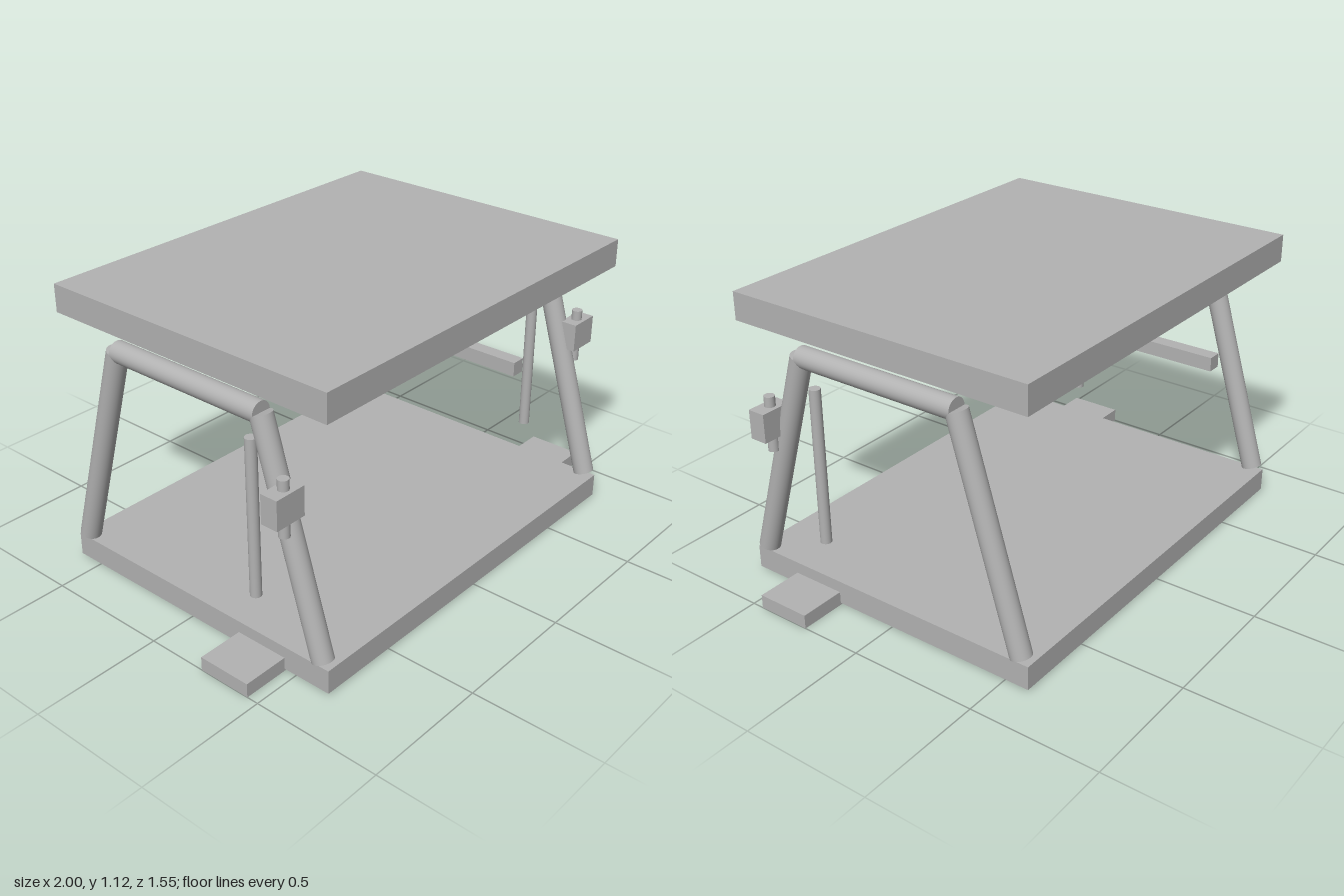
import * as THREE from 'three';

export function createModel() {
  const model = new THREE.Group();
  model.name = 'twoDeckFrame';
  const grey = new THREE.MeshStandardMaterial({ color: 0xb2b2b2 });
  grey.name = 'plainGrey';

  // Box given by its minimum and maximum corners
  const box = (name, parent, min, max) => {
    const size = max.map((v, i) => v - min[i]);
    const mesh = new THREE.Mesh(new THREE.BoxGeometry(...size), grey);
    mesh.position.set(...max.map((v, i) => (v + min[i]) / 2));
    mesh.name = name;
    parent.add(mesh);
  };

  // Capped round bar between two points
  const rod = (name, parent, from, to, radius) => {
    const a = new THREE.Vector3(...from), b = new THREE.Vector3(...to);
    const dir = b.clone().sub(a);
    const mesh = new THREE.Mesh(new THREE.CylinderGeometry(radius, radius, dir.length(), 32), grey);
    mesh.position.copy(a).add(b).multiplyScalar(0.5);
    mesh.quaternion.setFromUnitVectors(new THREE.Vector3(0, 1, 0), dir.normalize());
    mesh.name = name;
    parent.add(mesh);
  };

  // Decks and the bar running front to back between them
  box('baseDeck', model, [-0.82, 0.008, -0.6], [0.82, 0.1, 0.65]);
  box('topDeck', model, [-0.82, 1.013, -0.6], [0.82, 1.12, 0.65]);
  box('centreBar', model, [-0.025, 0.911, -0.773], [0.025, 0.96, 0.773]);

  // Side assemblies, mirrored in position
  for (const s of [1, -1]) {
    const side = new THREE.Group();
    side.name = s > 0 ? 'leftSide' : 'rightSide';
    model.add(side);
    const sideBox = (name, x0, x1, y0, y1, z0, z1) =>
      box(name, side, [Math.min(s * x0, s * x1), y0, z0], [Math.max(s * x0, s * x1), y1, z1]);
    const x = s * 0.8;

    // Tubular frame
    rod('frontLeg', side, [x, 0.115, 0.609], [x, 0.946, 0.36], 0.04);
    rod('rearLeg', side, [x, 0.115, -0.558], [x, 0.946, -0.31], 0.04);
    rod('topRail', side, [x, 0.946, 0.36], [x, 0.946, -0.31], 0.04);

    // Hanging rod, clamp with pin, and foot plate
    rod('hangingRod', side, [x, 0.234, 0.31], [x, 0.841, 0.31], 0.021);
    sideBox('clampBlock', 0.785, 0.911, 0.63, 0.741, 0.455, 0.524);
    rod('clampPin', side, [s * 0.844, 0.568, 0.49], [s * 0.844, 0.78, 0.49], 0.02);
    sideBox('footPlate', 0.69, 1, 0, 0.054, 0.24, 0.454);
  }
  return model;
}
